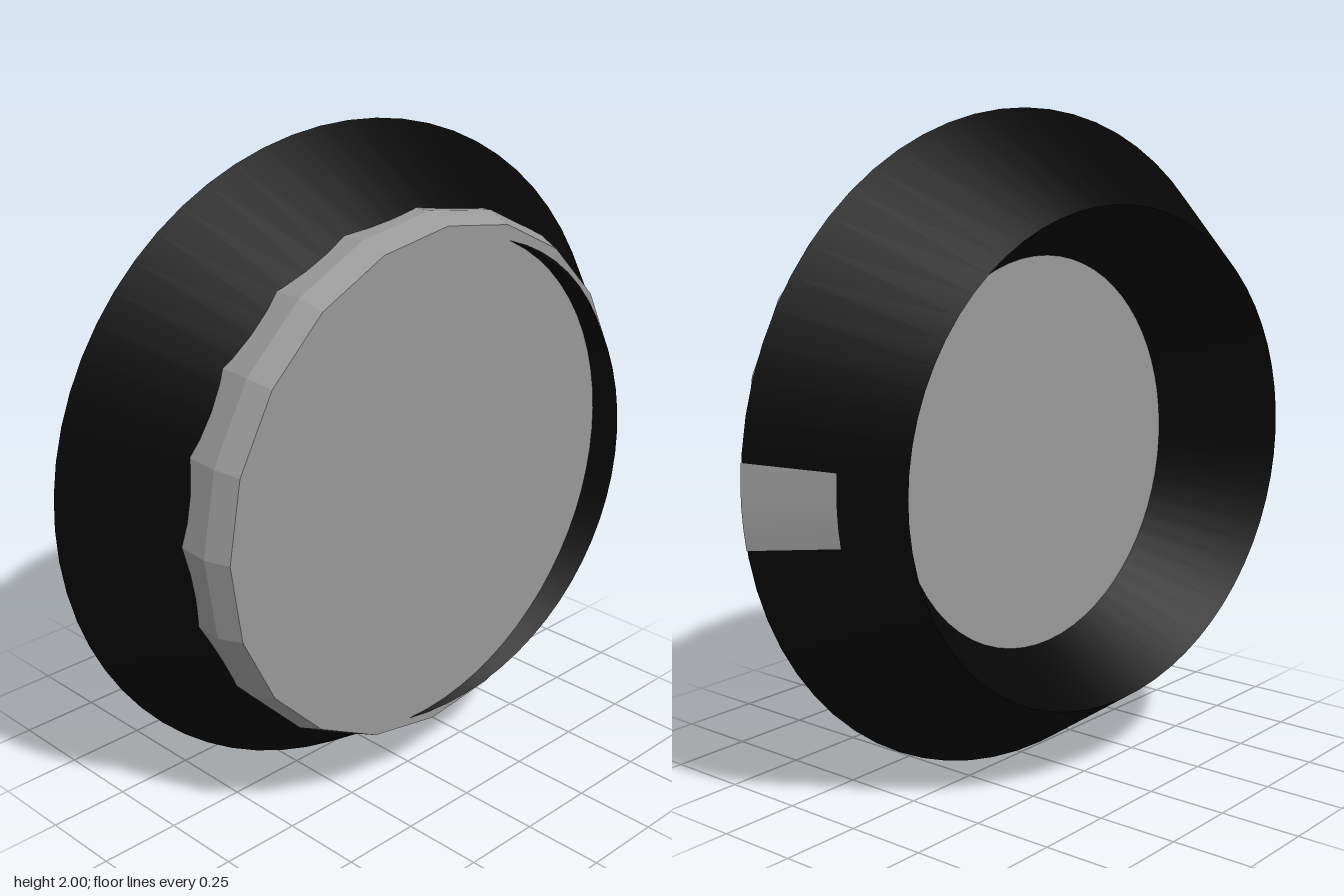
import * as THREE from 'three';
import { toCreasedNormals } from 'three/addons/utils/BufferGeometryUtils.js';

const deg = Math.PI / 180;

// Revolves [radius, depth] points around the z axis
function turned(points, segments, start = 0, length = 360) {
  const profile = points.map(([r, d]) => new THREE.Vector2(r, d));
  return new THREE.LatheGeometry(profile, segments, start * deg, length * deg).rotateX(Math.PI / 2);
}

function part(name, geometry, material) {
  const mesh = new THREE.Mesh(geometry, material);
  mesh.name = name;
  return mesh;
}

export function createModel() {
  const model = new THREE.Group();
  model.name = 'wheel';

  // Tyre: ring of diamond section, turned to its right and leaning slightly back
  const tyre = new THREE.Group();
  tyre.name = 'tyre';
  tyre.position.y = 1;
  tyre.rotation.set(-0.9 * deg, -8.9 * deg, 0);
  const ring = turned([
    [0.738, -0.385], [1, 0], [0.738, 0.385], [0.515, 0], [0.738, -0.385],
  ], 64);
  const rubber = new THREE.MeshStandardMaterial({ color: 0x060606 });
  tyre.add(part('tyreRing', toCreasedNormals(ring, 0.6), rubber));

  // Pale worn strip across the left side of the tread
  const strip = turned([[0.85, -0.223], [1.002, 0], [0.74, 0.387]], 4, 80, 14);
  const worn = new THREE.MeshStandardMaterial({ color: 0x999999 });
  tyre.add(part('wornStrip', toCreasedNormals(strip, 0.6), worn));
  model.add(tyre);

  // Hub: faceted disc with a bevelled front edge, closed at the back inside the bore
  const hub = part(
    'hub',
    turned([[0, -0.122], [0.785, -0.122], [0.8, 0.32], [0.772, 0.394], [0, 0.394]], 20),
    new THREE.MeshStandardMaterial({ color: 0x999999, flatShading: true }),
  );
  hub.position.set(-0.02, 1.01, 0);
  hub.rotation.set(0.8 * deg, -2.15 * deg, 0);
  model.add(hub);

  return model;
}
